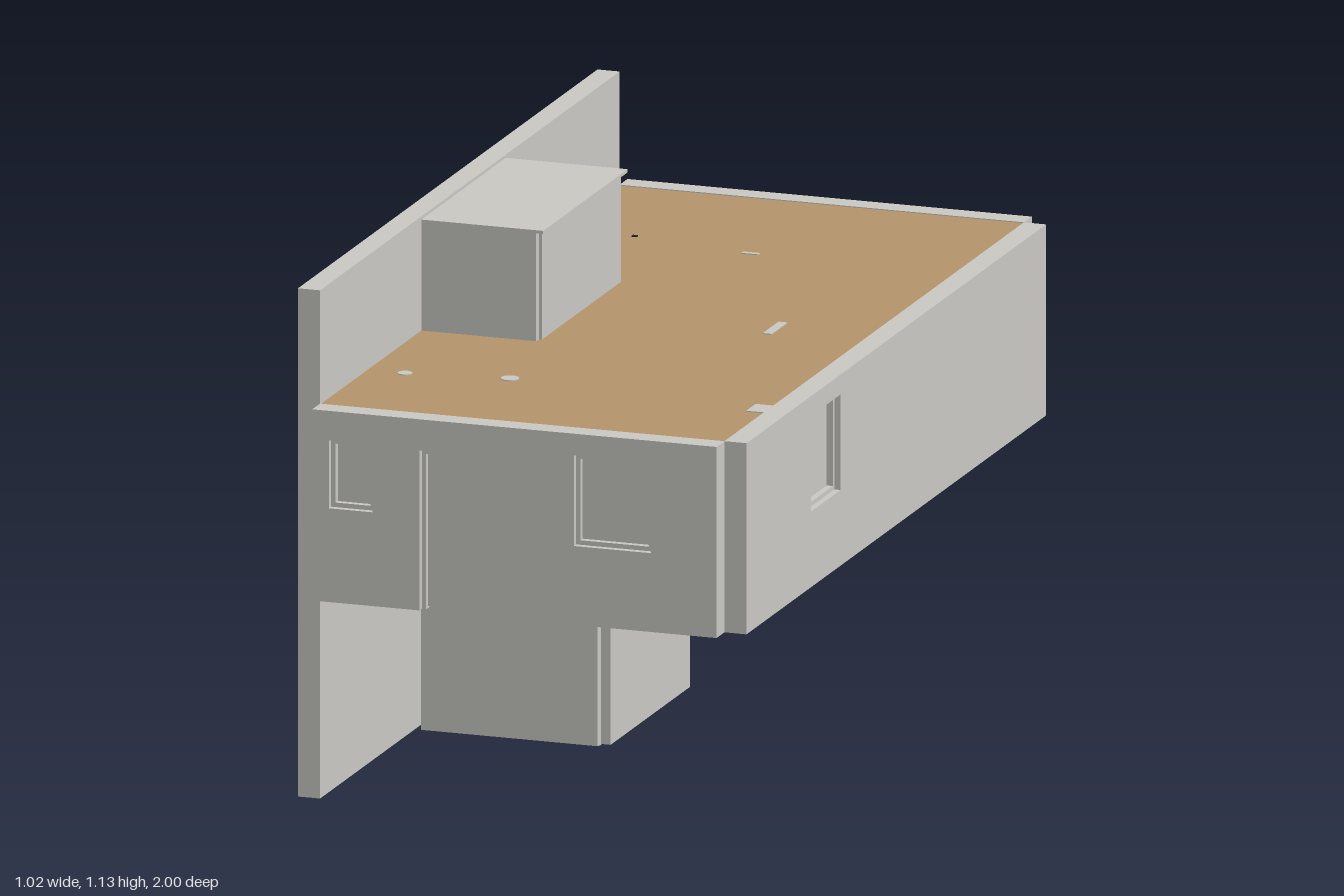
import * as THREE from 'three';

const plaster = new THREE.MeshStandardMaterial({ name: 'plaster', color: 0xc9c8c3 });
const wood = new THREE.MeshStandardMaterial({ name: 'wood', color: 0xb3956b });
const tile = new THREE.MeshStandardMaterial({ name: 'darkTile', color: 0x5c5c5a });
const black = new THREE.MeshStandardMaterial({ name: 'blackMetal', color: 0x222222 });

// Box given by its limits on each axis
function box(parent, name, mat, [x0, x1], [y0, y1], [z0, z1]) {
  const mesh = new THREE.Mesh(new THREE.BoxGeometry(x1 - x0, y1 - y0, z1 - z0), mat);
  mesh.position.set((x0 + x1) / 2, (y0 + y1) / 2, (z0 + z1) / 2);
  mesh.name = name;
  parent.add(mesh);
  return mesh;
}

const FLOOR = 0.465, TOP = 0.887, THICK = 0.05;

// Outer wall in its own plane: outer face at z = 0, facing +z
function outerWall(name, u0, u1, door, windows) {
  const group = new THREE.Group();
  group.name = name;
  const outline = [[u0, FLOOR]];
  if (door) {
    outline.push([door.u0, FLOOR], [door.u0, door.top], [door.u1, door.top], [door.u1, FLOOR]);
  }
  outline.push([u1, FLOOR], [u1, TOP], [u0, TOP]);
  const shape = new THREE.Shape(outline.map(([x, y]) => new THREE.Vector2(x, y)));
  for (const w of windows) {
    shape.holes.push(new THREE.Path([
      new THREE.Vector2(w.u0, w.y0), new THREE.Vector2(w.u0, w.y1),
      new THREE.Vector2(w.u1, w.y1), new THREE.Vector2(w.u1, w.y0)]));
  }
  const geo = new THREE.ExtrudeGeometry(shape, { depth: THICK, bevelEnabled: false });
  geo.translate(0, 0, -THICK);
  const wall = new THREE.Mesh(geo, plaster);
  wall.name = name + 'Panel';
  group.add(wall);

  // Recessed frames and panes
  const f = 0.01, depth = [-0.042, -0.014];
  for (const w of windows) {
    box(group, 'windowFrameSide', plaster, [w.u0, w.u0 + f], [w.y0, w.y1], depth);
    box(group, 'windowFrameSide', plaster, [w.u1 - f, w.u1], [w.y0, w.y1], depth);
    box(group, 'windowFrameTop', plaster, [w.u0 + f, w.u1 - f], [w.y1 - f, w.y1], depth);
    box(group, 'windowFrameSill', plaster, [w.u0 + f, w.u1 - f], [w.y0, w.y0 + f], depth);
    box(group, 'windowPane', plaster, [w.u0 + f, w.u1 - f], [w.y0 + f, w.y1 - f], [-0.034, -0.028]);
    for (const m of w.mullions || []) {
      box(group, 'windowMullion', plaster, [m - 0.006, m + 0.006], [w.y0 + f, w.y1 - f], [-0.04, -0.018]);
    }
  }
  if (door) {
    box(group, 'doorFrameSide', plaster, [door.u0, door.u0 + f], [FLOOR, door.top], depth);
    box(group, 'doorFrameSide', plaster, [door.u1 - f, door.u1], [FLOOR, door.top], depth);
    box(group, 'doorFrameTop', plaster, [door.u0 + f, door.u1 - f], [door.top - f, door.top], depth);
    box(group, 'doorLeaf', plaster, door.leaf, [FLOOR + 0.004, door.top - f], [-0.036, -0.026]);
  }
  return group;
}

export function createModel() {
  const house = new THREE.Group();
  house.name = 'house';

  // Outer walls
  const front = outerWall('frontWall', -0.455, 0.46,
    { u0: -0.212, u1: -0.044, top: 0.818, leaf: [-0.202, -0.054] },
    [{ u0: -0.417, u1: -0.318, y0: 0.672, y1: 0.822 }, { u0: 0.137, u1: 0.312, y0: 0.639, y1: 0.839 }]);
  front.position.z = 1;

  const back = outerWall('backWall', -0.46, 0.455,
    { u0: -0.3, u1: -0.035, top: 0.824, leaf: [-0.165, -0.045] },
    [{ u0: 0.065, u1: 0.29, y0: 0.63, y1: 0.835, mullions: [0.115, 0.2] }]);
  back.position.z = -1;
  back.rotation.y = Math.PI;

  const side = outerWall('leftWall', -0.95, 0.95, null,
    [{ u0: -0.54, u1: -0.353, y0: 0.632, y1: 0.843 }]);
  side.position.x = 0.51;
  side.rotation.y = Math.PI / 2;
  house.add(front, back, side);

  // Tall party wall with two small hooks
  box(house, 'partyWall', plaster, [-0.505, -0.455], [0.015, 1.137], [-0.95, 0.95]);
  for (const y of [0.638, 0.684]) {
    box(house, 'wallHook', black, [-0.512, -0.505], [y - 0.004, y + 0.004], [-0.886, -0.874]);
  }

  // Floors and ceiling
  box(house, 'woodFloor', wood, [-0.455, 0.46], [0.467, 0.475], [-0.95, 0.24]);
  box(house, 'tileFloor', tile, [-0.455, 0.46], [0.467, 0.475], [0.24, 0.95]);
  box(house, 'backDoorThreshold', wood, [0.035, 0.3], [0.466, 0.472], [-0.99, -0.95]);
  box(house, 'floorHatch', tile, [0.4, 0.44], [0.464, 0.467], [-0.93, -0.89]);
  box(house, 'ceiling', wood, [-0.455, 0.46], [0.876, 0.885], [-0.95, 0.95]);

  // Inner walls
  box(house, 'hallWall', plaster, [-0.04, -0.02], [0.466, 0.878], [0.3, 0.95]);
  box(house, 'crossWall', plaster, [-0.02, 0.46], [0.475, 0.878], [0.23, 0.25]);
  box(house, 'closetWall', plaster, [-0.26, -0.24], [0.475, 0.878], [0.4, 0.95]);

  // Fittings that reach through the ceiling
  for (const [x, z, r] of [[-0.37, 0.65, 0.016], [-0.145, 0.615, 0.02]]) {
    const cap = new THREE.Mesh(new THREE.CylinderGeometry(r, r, 0.012, 20), plaster);
    cap.position.set(x, 0.881, z);
    cap.name = 'ceilingLampCap';
    house.add(cap);
  }
  for (const [x, z] of [[[0.24, 0.26], [-0.01, 0.09]], [[0.42, 0.46], [0.64, 0.7]], [[-0.023, 0.014], [-0.525, -0.513]]]) {
    box(house, 'ceilingPlate', plaster, x, [0.877, 0.887], z);
  }
  box(house, 'ceilingPin', black, [-0.291, -0.279], [0.877, 0.887], [-0.575, -0.565]);

  // Basement: floor plate and three walls with open corners
  box(house, 'basementFloor', plaster, [-0.455, -0.055], [0.002, 0.008], [-0.22, 0.3]);
  box(house, 'basementSideWall', plaster, [-0.055, -0.033], [0.004, 0.457], [-0.213, 0.29]);
  box(house, 'basementBackWall', plaster, [-0.455, -0.055], [0.004, 0.466], [-0.235, -0.213]);
  box(house, 'basementFrontWall', plaster, [-0.455, -0.055], [0.004, 0.457], [0.29, 0.31]);
  box(house, 'basementCeiling', tile, [-0.29, -0.055], [0.457, 0.466], [-0.21, 0.3]);

  // Stair head rising above the ceiling
  box(house, 'stairHeadSideWall', plaster, [-0.2, -0.188], [0.88, 1.123], [-0.21, 0.29]);
  box(house, 'stairHeadBackWall', plaster, [-0.455, -0.195], [0.88, 1.123], [-0.225, -0.21]);
  box(house, 'stairHeadFrontWall', plaster, [-0.455, -0.195], [0.88, 1.123], [0.29, 0.308]);
  box(house, 'stairHeadRoof', plaster, [-0.455, -0.179], [1.123, 1.13], [-0.228, 0.308]);

  return house;
}
